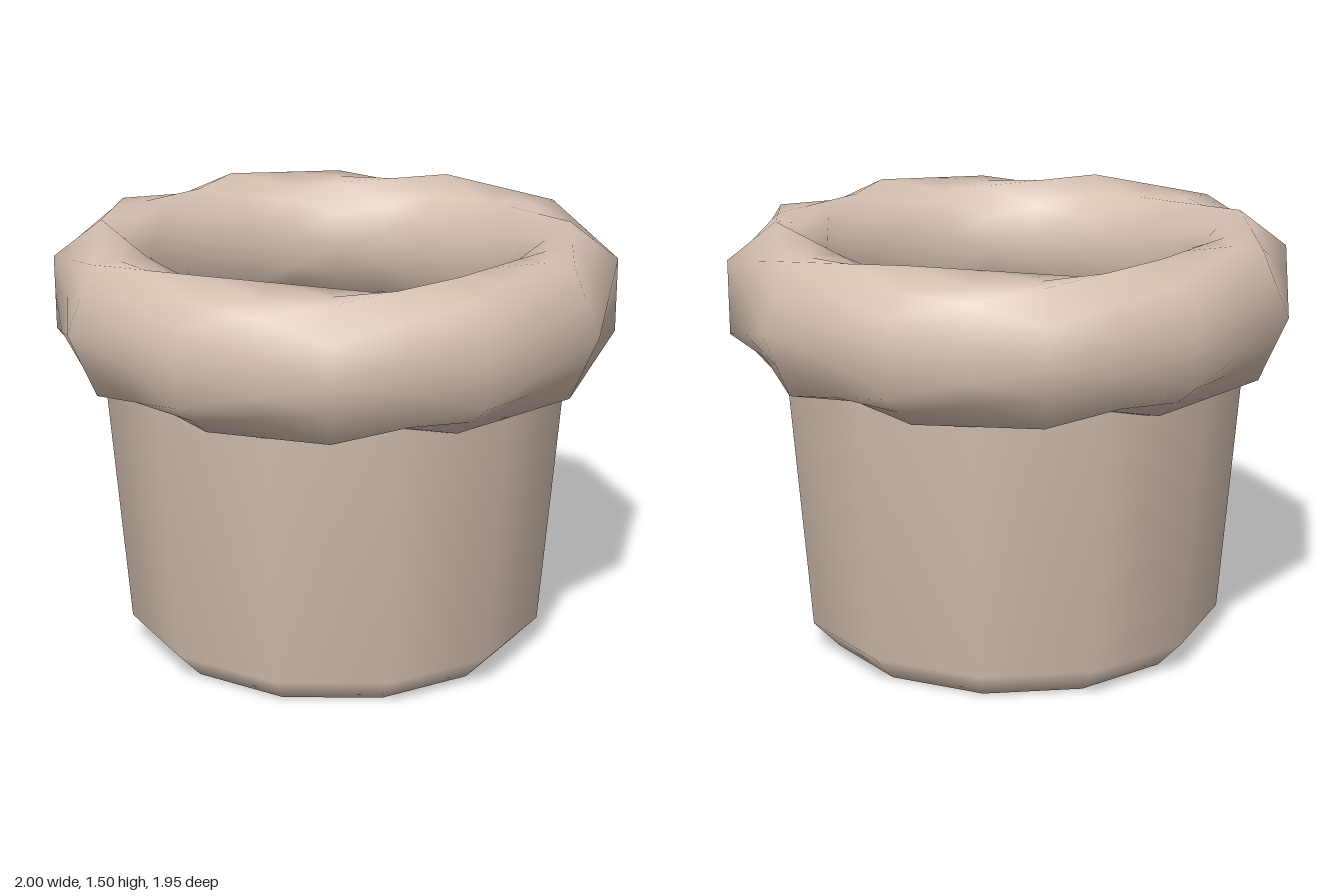
import * as THREE from 'three';

const SEGMENTS = 12; // steps around the pot
const SIDES = 6;     // corners of the rim's cross-section
const SPLIT = 2;     // each twisted rim panel is split this many times both ways

// Corner of the rim: an oval six-sided section that turns as it goes around
function rimCorner(i, j) {
  const theta = (i / SEGMENTS) * Math.PI * 2;
  const phi = (j / SIDES) * Math.PI * 2 - theta;
  const r = 0.805 + 0.195 * Math.cos(phi);
  return new THREE.Vector3(r * Math.cos(theta), 1.24 + 0.26 * Math.sin(phi), r * Math.sin(theta));
}

// Straight-edged panels between the corners, each a gently twisted ruled surface
function rimPoint(u, v) {
  const i = Math.floor(u);
  const j = Math.floor(v);
  const near = rimCorner(i, j).lerp(rimCorner(i, j + 1), v - j);
  const far = rimCorner(i + 1, j).lerp(rimCorner(i + 1, j + 1), v - j);
  return near.lerp(far, u - i);
}

function twistedRing() {
  const positions = [];
  const indices = [];
  const around = SEGMENTS * SPLIT;
  const across = SIDES * SPLIT;
  for (let i = 0; i < around; i++) {
    for (let j = 0; j < across; j++) {
      positions.push(...rimPoint(i / SPLIT, j / SPLIT).toArray());
      const next = ((i + 1) % around) * across;
      const up = (j + 1) % across;
      const a = i * across + j;
      const b = i * across + up;
      const c = next + up;
      const d = next + j;
      indices.push(a, b, c, a, c, d);
    }
  }
  const geometry = new THREE.BufferGeometry();
  geometry.setAttribute('position', new THREE.Float32BufferAttribute(positions, 3));
  geometry.setIndex(indices);
  geometry.computeVertexNormals();
  return geometry;
}

export function createModel() {
  const model = new THREE.Group();
  model.name = 'pot';

  const clay = new THREE.MeshStandardMaterial({ color: 0xd4bfb0, side: THREE.DoubleSide });
  clay.name = 'pale clay';

  // Open tapered body with a bevelled foot, flat sides facing front and back
  const profile = [[0, 0], [0.652, 0], [0.745, 0.1], [0.82, 1.1]].map(([x, y]) => new THREE.Vector2(x, y));
  const body = new THREE.Mesh(new THREE.LatheGeometry(profile, SEGMENTS, Math.PI / SEGMENTS), clay);
  body.name = 'potBody';
  model.add(body);

  // Thick twisted rim
  const rim = new THREE.Mesh(twistedRing(), clay);
  rim.name = 'twistedRim';
  model.add(rim);

  return model;
}
